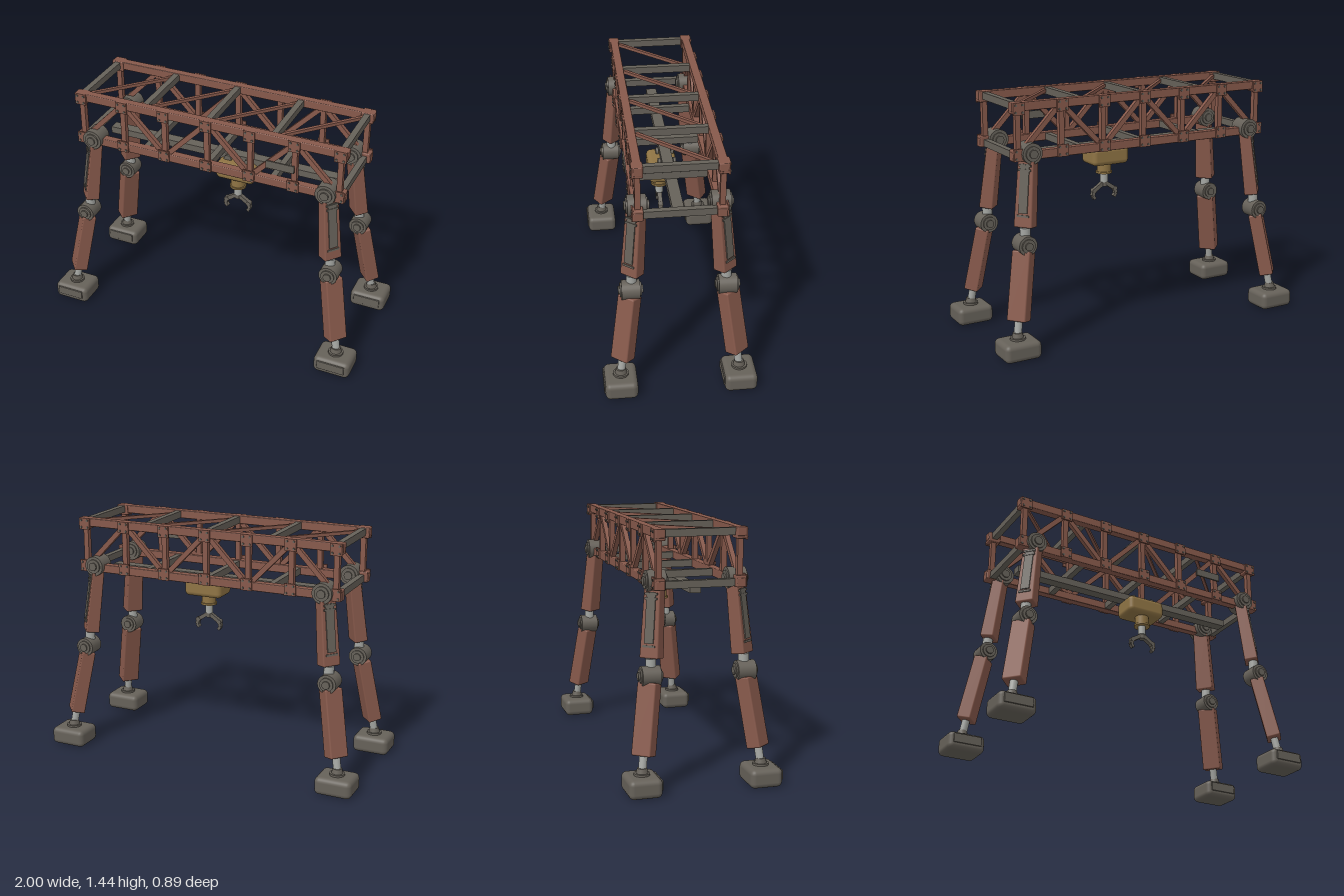
import * as THREE from 'three';
import { RoundedBoxGeometry } from 'three/addons/geometries/RoundedBoxGeometry.js';

const mat = (name, color) => {
  const m = new THREE.MeshStandardMaterial({ color });
  m.name = name;
  return m;
};
const V = (x, y, z) => new THREE.Vector3(x, y, z);

export function createModel() {
  const rust = mat('rust red paint', 0x87594b);
  const iron = mat('dark iron', 0x666159);
  const ochre = mat('ochre paint', 0x8f7444);
  const steel = mat('bright steel', 0xa5a7a3);

  const root = new THREE.Group();
  root.name = 'walkingGantry';
  const group = (name, parent) => {
    const g = new THREE.Group();
    g.name = name;
    parent.add(g);
    return g;
  };
  const add = (parent, name, geo, material, p = [0, 0, 0]) => {
    const m = new THREE.Mesh(geo, material);
    m.name = name;
    m.position.set(...p);
    parent.add(m);
    return m;
  };
  const box = (parent, name, s, p, material, r = 0) =>
    add(parent, name, r ? new RoundedBoxGeometry(...s, 3, r) : new THREE.BoxGeometry(...s), material, p);
  const cyl = (parent, name, r0, r1, h, p, material, sides = 24) =>
    add(parent, name, new THREE.CylinderGeometry(r0, r1, h, sides), material, p);
  const cylZ = (parent, name, r, h, p, material, sides = 24) => {
    const m = cyl(parent, name, r, r, h, p, material, sides);
    m.rotation.x = Math.PI / 2;
    return m;
  };
  // Turns a mesh so its y axis runs from a to b, with its z axis nearest to "face"
  const span = (mesh, a, b, face) => {
    const y = b.clone().sub(a).normalize();
    const x = y.clone().cross(face).normalize();
    const z = x.clone().cross(y);
    mesh.quaternion.setFromRotationMatrix(new THREE.Matrix4().makeBasis(x, y, z));
    mesh.position.copy(a).add(b).multiplyScalar(0.5);
    return mesh;
  };
  const bar = (parent, name, a, b, w, d, material, face = V(0, 0, 1)) =>
    span(box(parent, name, [w, a.distanceTo(b), d], [0, 0, 0], material), a, b, face);

  // Truss side frames
  const TOP = 1.42, LOW = 1.14, SIDE = 0.23, STEP = 0.27;
  const truss = group('truss', root);
  for (const s of [1, -1]) {
    const frame = group(s > 0 ? 'frontFrame' : 'backFrame', truss);
    for (const y of [TOP, LOW]) {
      box(frame, 'chord', [1.7, 0.05, 0.05], [0, y, s * SIDE], rust, 0.005);
      for (const x of [-0.81, 0.81]) box(frame, 'cornerBlock', [0.075, 0.064, 0.06], [x, y - (y - 1.28) * 0.05, s * SIDE], rust, 0.006);
    }
    for (let i = -3; i <= 3; i++) {
      const x = i * STEP;
      bar(frame, 'post', V(x, LOW, s * SIDE), V(x, TOP, s * SIDE), 0.032, 0.032, rust);
      // Diagonals fan out from every second upper node
      if (i % 2 === 0) for (const e of [-1, 1])
        bar(frame, 'diagonal', V(x, TOP, s * SIDE), V(x + e * STEP, LOW, s * SIDE), 0.03, 0.028, rust);
    }
    // The fan points also sit at the outer bays
    for (let i = -3; i <= 3; i++) for (const y of [TOP - 0.01, LOW + 0.01]) {
      const x = i * STEP;
      box(frame, 'gusset', [0.07, 0.07, 0.009], [x, y, s * (SIDE + 0.029)], rust);
      for (const bx of [-0.021, 0.021]) for (const by of [-0.021, 0.021])
        cylZ(frame, 'bolt', 0.007, 0.008, [x + bx, y + by, s * (SIDE + 0.035)], iron, 6);
    }
  }

  // Cross beams between the frames and the flat bracing
  for (let i = -2; i <= 2; i++) for (const y of [TOP, LOW])
    box(truss, 'crossBeam', [0.036, 0.042, 2 * SIDE - 0.04], [i * 0.405, y, 0], iron);
  for (let i = -2; i < 2; i++)
    bar(truss, 'topBrace', V(i * 0.405 + 0.02, TOP, SIDE - 0.03), V((i + 1) * 0.405 - 0.01, TOP, 0.03 - SIDE), 0.02, 0.02, rust, V(0, 1, 0));
  box(truss, 'sidePlate', [0.17, 0.046, 0.009], [0.465, 1.268, SIDE + 0.042], iron);

  // Hoist rail and trolley
  box(root, 'rail', [1.49, 0.042, 0.065], [0, 1.098, 0], iron);
  const trolley = group('trolley', root);
  trolley.position.set(0.113, 0, 0.022);
  box(trolley, 'hoistBody', [0.245, 0.11, 0.17], [0, 1.032, 0], ochre, 0.028);
  for (const x of [-0.065, 0.065]) for (const z of [-0.045, 0.045])
    cylZ(trolley, 'wheel', 0.024, 0.016, [x, 1.092, z - 0.022], iron, 16);
  const grab = group('grab', trolley);
  grab.position.z = 0.016;
  cyl(grab, 'neck', 0.043, 0.043, 0.07, [0, 0.952, 0], ochre);
  cyl(grab, 'neckFlange', 0.05, 0.05, 0.012, [0, 0.918, 0], ochre);
  cyl(grab, 'shaft', 0.024, 0.024, 0.06, [0, 0.886, 0], steel);
  cyl(grab, 'gripperHub', 0.018, 0.018, 0.04, [0, 0.847, 0], iron, 16);
  for (const s of [1, -1]) {
    const finger = group('finger', grab);
    const pts = [V(s * 0.006, 0.85, 0), V(s * 0.072, 0.806, 0), V(s * 0.08, 0.776, 0), V(s * 0.066, 0.755, 0)];
    for (let i = 0; i < 3; i++) bar(finger, 'fingerLink', pts[i], pts[i + 1], 0.024 - i * 0.003, 0.026, iron);
    cylZ(finger, 'fingerJoint', 0.015, 0.03, pts[1].toArray(), iron, 12);
  }

  // Legs: hip, upper segment, knee, lower segment, ankle rod and foot
  const joint = (parent, name, r, p) => {
    const j = group(name, parent);
    j.position.copy(p);
    cylZ(j, 'drum', r, 0.105, [0, 0, 0], iron, 28);
    cylZ(j, 'rim', r * 0.72, 0.122, [0, 0, 0], iron);
    cylZ(j, 'axleCap', r * 0.42, 0.14, [0, 0, 0], iron, 16);
  };
  const segment = (parent, name, a, b, w, d, endScale, face) => {
    const len = a.distanceTo(b);
    const geo = new RoundedBoxGeometry(w, len, d, 3, 0.009);
    const pos = geo.attributes.position;
    for (let i = 0; i < pos.count; i++) {
      const k = THREE.MathUtils.lerp(1, endScale, pos.getY(i) / len + 0.5);
      pos.setX(i, pos.getX(i) * k);
      pos.setZ(i, pos.getZ(i) * k);
    }
    return span(add(parent, name, geo, rust), a, b, face);
  };
  for (const sx of [1, -1]) for (const sz of [1, -1]) {
    const leg = group((sz > 0 ? 'front' : 'back') + (sx > 0 ? 'Left' : 'Right') + 'Leg', root);
    const P = (x, y, z) => V(sx * x, y, sz * z);
    const out = P(0.76, 0, 0.65);
    joint(leg, 'hip', 0.06, P(0.74, 1.155, 0.23));
    joint(leg, 'knee', 0.056, P(0.8, 0.64, 0.274));

    const upper = segment(leg, 'upperLeg', P(0.787, 0.735, 0.262), P(0.746, 1.125, 0.232), 0.112, 0.084, 0.86, out);
    // Cover strip and clamps on the outer face
    const strip = box(upper, 'coverStrip', [0.054, 0.28, 0.008], [0, 0.025, 0.0415], iron);
    strip.rotation.x = -0.016;
    for (const y of [0.155, 0.13, -0.13]) box(upper, 'clamp', [0.074, 0.012, 0.016], [0, y, 0.039], iron);
    cyl(leg, 'kneeNeck', 0.03, 0.03, 0.07, P(0.792, 0.7, 0.268).toArray(), steel, 16);

    segment(leg, 'lowerLeg', P(0.874, 0.212, 0.332), P(0.808, 0.605, 0.279), 0.115, 0.086, 0.97, out);
    const a = P(0.888, 0.125, 0.343), b = P(0.872, 0.225, 0.331);
    span(cyl(leg, 'ankleRod', 0.023, 0.023, a.distanceTo(b), [0, 0, 0], steel), a, b, out);
    cyl(leg, 'ankleSocket', 0.027, 0.036, 0.036, P(0.888, 0.132, 0.344).toArray(), iron);
    cyl(leg, 'ankleBase', 0.045, 0.045, 0.014, P(0.888, 0.115, 0.345).toArray(), iron);
    box(leg, 'foot', [0.224, 0.108, 0.188], P(0.888, 0.056, 0.346).toArray(), iron, 0.03);
    box(leg, 'footPlate', [0.17, 0.055, 0.009], [sx * 0.888, 0.066, sz * 0.346 + 0.0965], iron, 0.003);
  }

  root.position.z = -0.004;
  const model = new THREE.Group();
  model.name = 'model';
  model.add(root);
  return model;
}
